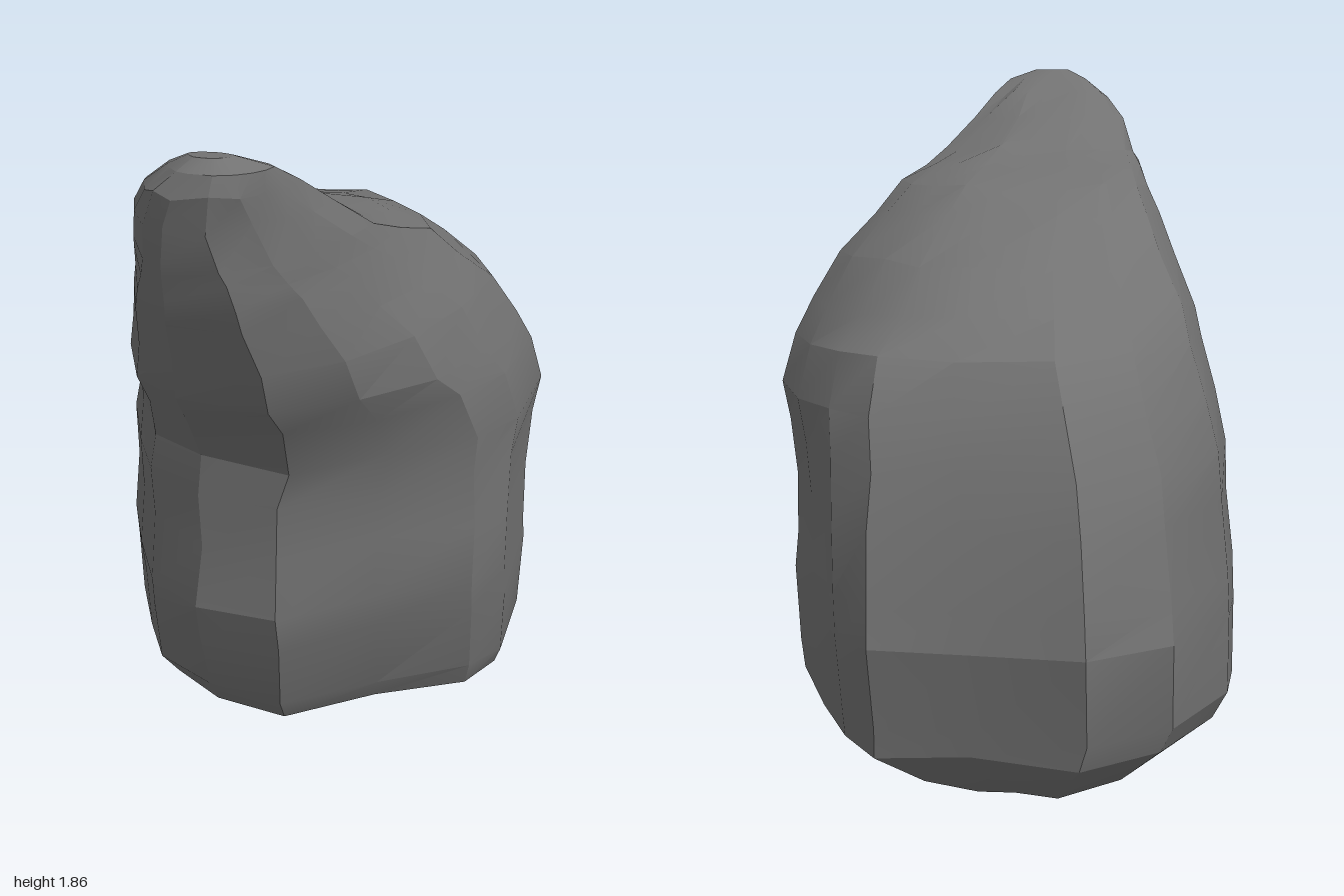
import * as THREE from 'three';
import { toCreasedNormals } from 'three/addons/utils/BufferGeometryUtils.js';

// Outlines seen from above, scaled to -1..1, from the front round by +x
const BASE = [
  [0.08, 1], [0.46, 0.77], [0.86, 0.57], [0.98, 0.4], [1, -0.02], [0.81, -0.4], [0.6, -0.8], [0.43, -0.95],
  [0.03, -0.94], [-0.43, -1], [-0.76, -0.82], [-0.98, -0.4], [-1, -0.15], [-0.87, 0.24], [-0.71, 0.54],
  [-0.56, 0.78], [-0.28, 0.95],
];
const PROW = [
  [0.1, 1], [0.47, 0.8], [0.73, 0.5], [0.91, 0.13], [1, -0.3], [0.84, -0.58], [0.59, -0.79], [0.33, -0.93],
  [0.05, -1], [-0.36, -0.95], [-0.68, -0.8], [-0.93, -0.6], [-1, -0.35], [-0.96, 0.05], [-0.82, 0.44],
  [-0.62, 0.79], [-0.38, 0.94],
];

// Height, left edge, right edge, front, back, blend from base to prow outline
const LEVELS = [
  [0.0, -0.34, 0.14, 0.05, -0.8, 0],
  [0.04, -0.46, 0.37, 0.2, -0.85, 0],
  [0.13, -0.6, 0.58, 0.46, -0.93, 0],
  [0.2, -0.64, 0.6, 0.51, -0.945, 0],
  [0.42, -0.64, 0.61, 0.59, -1.0, 0],
  [0.52, -0.635, 0.61, 0.63, -0.985, 0],
  [0.71, -0.615, 0.61, 0.62, -0.96, 0],
  [0.85, -0.61, 0.62, 0.63, -0.92, 0.2],
  [0.97, -0.58, 0.64, 0.64, -0.88, 0.35],
  [1.11, -0.54, 0.61, 0.73, -0.8, 0.55],
  [1.2, -0.52, 0.57, 0.82, -0.68, 0.75],
  [1.32, -0.46, 0.51, 0.87, -0.53, 0.9],
  [1.43, -0.41, 0.43, 0.92, -0.33, 1],
  [1.51, -0.37, 0.37, 0.95, -0.18, 1],
  [1.56, -0.34, 0.32, 0.96, 0.04, 1],
  [1.61, -0.31, 0.28, 0.97, 0.28, 1],
  [1.7, -0.27, 0.21, 0.985, 0.5, 1],
  [1.78, -0.21, 0.16, 1.0, 0.69, 1],
  [1.83, -0.13, 0.12, 0.985, 0.81, 1],
  [1.86, -0.07, 0.04, 0.95, 0.89, 1],
];

function rockGeometry() {
  let seed = 7;
  const jitter = () => {
    seed = (seed * 16807) % 2147483647;
    return (seed / 2147483647 - 0.5) * 0.024;
  };
  const n = BASE.length;
  const positions = [];
  const indices = [];

  // Stacked cross-sections with a little roughness between the ends
  LEVELS.forEach(([y, left, right, front, back, blend], i) => {
    const rough = i > 1 && i < LEVELS.length - 2 ? 1 : 0;
    for (let j = 0; j < n; j++) {
      const u = THREE.MathUtils.lerp(BASE[j][0], PROW[j][0], blend);
      const v = THREE.MathUtils.lerp(BASE[j][1], PROW[j][1], blend);
      positions.push(
        (left + right) / 2 + (u * (right - left)) / 2 + rough * jitter() * (1 - Math.abs(u)),
        y + rough * jitter(),
        (front + back) / 2 + (v * (front - back)) / 2 + rough * jitter() * (1 - Math.abs(v)),
      );
    }
  });
  for (let i = 0; i < LEVELS.length - 1; i++) {
    for (let j = 0; j < n; j++) {
      const a = i * n + j;
      const b = i * n + ((j + 1) % n);
      indices.push(a, b, b + n, a, b + n, a + n);
    }
  }

  // Underside and tip
  const addCap = (level, top) => {
    const [y, left, right, front, back] = LEVELS[level];
    const centre = positions.length / 3;
    positions.push((left + right) / 2, y, (front + back) / 2);
    for (let j = 0; j < n; j++) {
      const a = level * n + j;
      const b = level * n + ((j + 1) % n);
      if (top) indices.push(a, b, centre);
      else indices.push(b, a, centre);
    }
  };
  addCap(0, false);
  addCap(LEVELS.length - 1, true);

  const geometry = new THREE.BufferGeometry();
  geometry.setAttribute('position', new THREE.Float32BufferAttribute(positions, 3));
  geometry.setIndex(indices);
  return toCreasedNormals(geometry, 0.35);
}

export function createModel() {
  const group = new THREE.Group();
  group.name = 'overhangingRock';
  const stone = new THREE.MeshStandardMaterial({ color: 0x727272 });
  stone.name = 'grey stone';
  const rock = new THREE.Mesh(rockGeometry(), stone);
  rock.name = 'rock';
  group.add(rock);
  return group;
}
